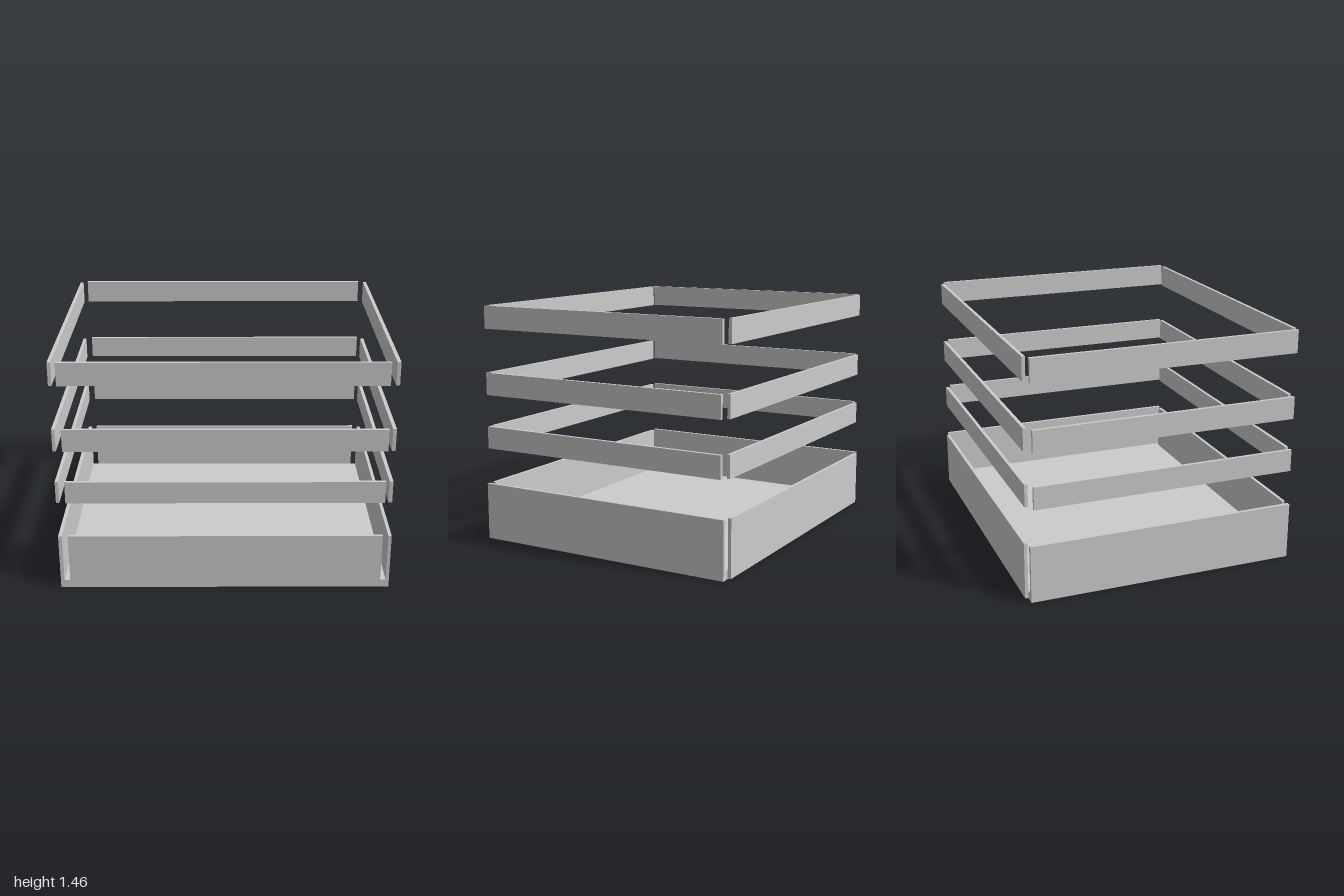
import * as THREE from 'three';

const material = new THREE.MeshStandardMaterial({ color: 0xcccccc });

// Box given by its extents along each axis
function slab(name, [x0, x1], [y0, y1], [z0, z1]) {
  const geometry = new THREE.BoxGeometry(x1 - x0, y1 - y0, z1 - z0);
  const mesh = new THREE.Mesh(geometry, material);
  mesh.name = name;
  mesh.position.set((x0 + x1) / 2, (y0 + y1) / 2, (z0 + z1) / 2);
  return mesh;
}

// Four separate boards standing around a rectangle, open at the corners
function boards(name, y, { span, right, left, sides, front, back }) {
  const group = new THREE.Group();
  group.name = name;
  group.add(
    slab('frontBoard', span, y, front),
    slab('backBoard', span, y, back),
    slab('rightBoard', right, y, sides),
    slab('leftBoard', left, y, sides),
  );
  return group;
}

export function createModel() {
  const model = new THREE.Group();
  model.name = 'slattedCrate';

  // Tray: floor and tall walls
  model.add(slab('floor', [-1, 1], [0, 0.05], [-0.82, 0.84]));
  model.add(boards('trayWalls', [0.003, 0.352], {
    span: [-0.943, 0.947],
    right: [-1, -0.978],
    left: [0.98, 1],
    sides: [-0.82, 0.84],
    front: [0.82, 0.84],
    back: [-0.84, -0.82],
  }));

  // Floating rings of slats; the top one is shifted slightly
  const rings = [
    { y: [0.574, 0.711], shift: 0, back: -0.793 },
    { y: [0.908, 1.046], shift: 0, back: -0.793 },
    { y: [1.316, 1.456], shift: -0.01, back: -0.8 },
  ];
  rings.forEach(({ y, shift, back }, i) => {
    model.add(boards(`slatRing${i + 1}`, y, {
      span: [-0.943 + shift, 0.947 + shift],
      right: [-1, -0.98],
      left: [0.968, 0.99],
      sides: [back, 0.832],
      front: [0.82, 0.84],
      back: [-0.83, -0.81],
    }));
  });

  return model;
}
